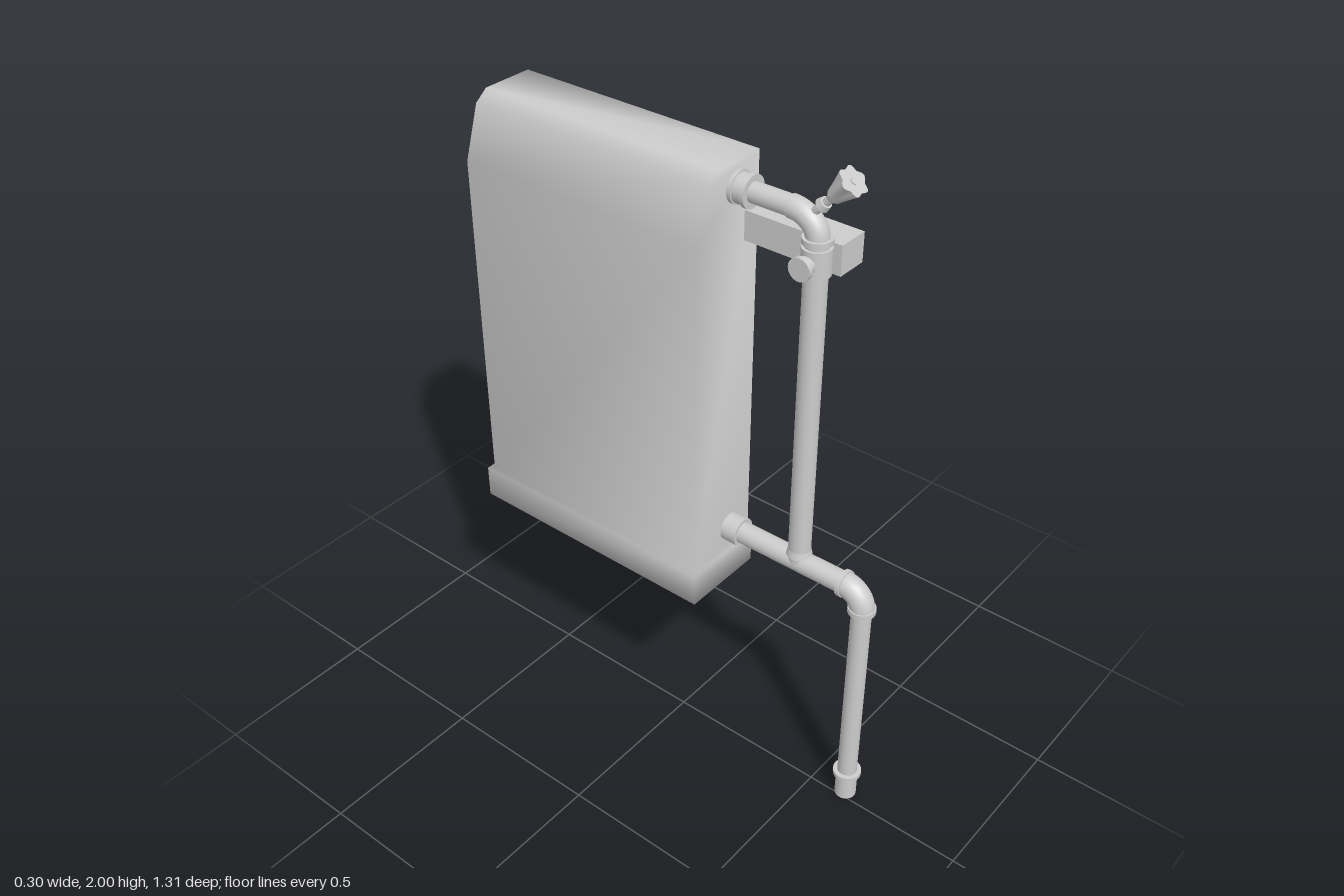
import * as THREE from 'three';

const PIPE_X = 0.022;
const mat = new THREE.MeshStandardMaterial({ color: 0xcccccc, side: THREE.DoubleSide });

function add(parent, name, geometry) {
  const mesh = new THREE.Mesh(geometry, mat);
  mesh.name = name;
  parent.add(mesh);
  return mesh;
}

// Round rod from point a to point b, optionally tapered
function rod(parent, name, a, b, r0, r1 = r0, sides = 24) {
  const from = new THREE.Vector3(...a), to = new THREE.Vector3(...b);
  const dir = to.clone().sub(from);
  const mesh = add(parent, name, new THREE.CylinderGeometry(r1, r0, dir.length(), sides));
  mesh.position.copy(from).add(to).multiplyScalar(0.5);
  mesh.quaternion.setFromUnitVectors(new THREE.Vector3(0, 1, 0), dir.normalize());
  return mesh;
}

// Quarter bend from a horizontal run (z0, y0) to a vertical run (z1, y1)
function elbow(parent, name, z0, y0, z1, y1, r) {
  const k = 0.55, p = (z, y) => new THREE.Vector3(PIPE_X, y, z);
  const curve = new THREE.CubicBezierCurve3(
    p(z0, y0), p(z0 + (z1 - z0) * k, y0), p(z1, y1 + (y0 - y1) * k), p(z1, y1));
  add(parent, name, new THREE.TubeGeometry(curve, 12, r, 24));
}

// Hollow cover and wider bottom tray, open on the +x side
function coverGeometry() {
  const inner = [0.15, -0.64], outer = [0.165, -0.655];
  const profile = [
    [0.11, 1.93, inner], [-0.05, 1.93, inner], [-0.09, 1.9, inner], [-0.14, 1.75, inner],
    [-0.14, 0.72, inner], [-0.155, 0.72, outer], [-0.155, 0.62, outer], [0.11, 0.62, outer],
    [0.11, 0.72, outer], [0.11, 0.72, inner],
  ];
  const position = [], index = [];
  for (const [x, y, [front, back]] of profile) position.push(x, y, front, x, y, back);
  for (let i = 0; i < 7; i++) {
    const f = 2 * i, b = f + 1;
    index.push(f, b, b + 2, f, b + 2, f + 2);
  }
  for (const cap of [[0, 1, 2, 3, 4, 9], [4, 5, 8, 9], [5, 6, 7, 8]]) {
    for (let i = 1; i < cap.length - 1; i++) {
      const [a, b, c] = [cap[0], cap[i], cap[i + 1]].map((v) => 2 * v);
      index.push(a, b, c, a + 1, c + 1, b + 1);
    }
  }
  const g = new THREE.BufferGeometry();
  g.setAttribute('position', new THREE.Float32BufferAttribute(position, 3));
  g.setIndex(index);
  g.computeVertexNormals();
  return g;
}

// Tapered knob with fluted sides
function knobGeometry() {
  const g = new THREE.CylinderGeometry(0.038, 0.021, 0.072, 48, 4);
  const p = g.attributes.position;
  for (let i = 0; i < p.count; i++) {
    const x = p.getX(i), z = p.getZ(i), t = p.getY(i) / 0.072 + 0.5;
    const s = 1 + 0.12 * t * Math.cos(6 * Math.atan2(z, x));
    p.setX(i, x * s);
    p.setZ(i, z * s);
  }
  g.computeVertexNormals();
  return g;
}

export function createModel() {
  const model = new THREE.Group();
  const at = (z, y) => [PIPE_X, y, z];

  add(model, 'cover', coverGeometry());

  // Lower supply pipe
  const lower = new THREE.Group();
  lower.name = 'lowerPipe';
  model.add(lower);
  rod(lower, 'threadedEnd', at(0.61, 0), at(0.61, 0.085), 0.032);
  rod(lower, 'endCollar', at(0.61, 0.083), at(0.61, 0.097), 0.042);
  rod(lower, 'downPipe', at(0.61, 0.09), at(0.61, 0.74), 0.029);
  rod(lower, 'bendCollarBottom', at(0.61, 0.726), at(0.61, 0.742), 0.04);
  elbow(lower, 'lowerElbow', 0.548, 0.793, 0.61, 0.735, 0.036);
  rod(lower, 'bendCollarSide', at(0.541, 0.793), at(0.555, 0.793), 0.04);
  rod(lower, 'horizontalPipe', at(0.145, 0.793), at(0.55, 0.793), 0.032);
  rod(lower, 'lowerFlange', at(0.15, 0.793), at(0.2, 0.793), 0.042);

  // Riser and upper return pipe
  const upper = new THREE.Group();
  upper.name = 'upperPipe';
  model.add(upper);
  rod(upper, 'riser', at(0.395, 0.793), at(0.395, 1.8), 0.032);
  rod(upper, 'riserFoot', at(0.395, 0.82), at(0.395, 0.84), 0.037, 0.032);
  rod(upper, 'riserCollar', at(0.395, 1.79), at(0.395, 1.805), 0.04);
  elbow(upper, 'upperElbow', 0.315, 1.862, 0.395, 1.8, 0.031);
  rod(upper, 'upperStub', at(0.145, 1.862), at(0.32, 1.862), 0.028);
  rod(upper, 'upperFlange', at(0.155, 1.862), at(0.195, 1.862), 0.041);
  for (const z of [0.156, 0.195]) {
    rod(upper, 'flangeRim', at(z - 0.006, 1.862), at(z + 0.006, 1.862), 0.045);
  }

  // Bracket arm with pipe clamp and bolt
  const bracket = new THREE.Group();
  bracket.name = 'bracket';
  model.add(bracket);
  add(bracket, 'bracketArm', new THREE.BoxGeometry(0.095, 0.085, 0.295))
    .position.set(0.1, 1.743, 0.3);
  rod(bracket, 'clampRing', at(0.395, 1.705), at(0.395, 1.78), 0.04);
  rod(bracket, 'boltNeck', [0.01, 1.743, 0.392], [-0.036, 1.743, 0.392], 0.024);
  rod(bracket, 'boltHead', [-0.034, 1.743, 0.392], [-0.048, 1.743, 0.392], 0.032);

  // Tilted valve handle
  const valve = new THREE.Group();
  valve.name = 'valve';
  valve.position.set(PIPE_X, 1.872, 0.385);
  valve.rotation.x = 0.75;
  model.add(valve);
  rod(valve, 'valveStem', [0, -0.02, 0], [0, 0.085, 0], 0.011);
  rod(valve, 'stemNut', [0, 0.025, 0], [0, 0.042, 0], 0.02, 0.016);
  rod(valve, 'knobBase', [0, 0.06, 0], [0, 0.08, 0], 0.013, 0.02);
  add(valve, 'knob', knobGeometry()).position.y = 0.11;
  rod(valve, 'knobScrew', [0, 0.145, 0], [0, 0.149, 0], 0.009);
  return model;
}
